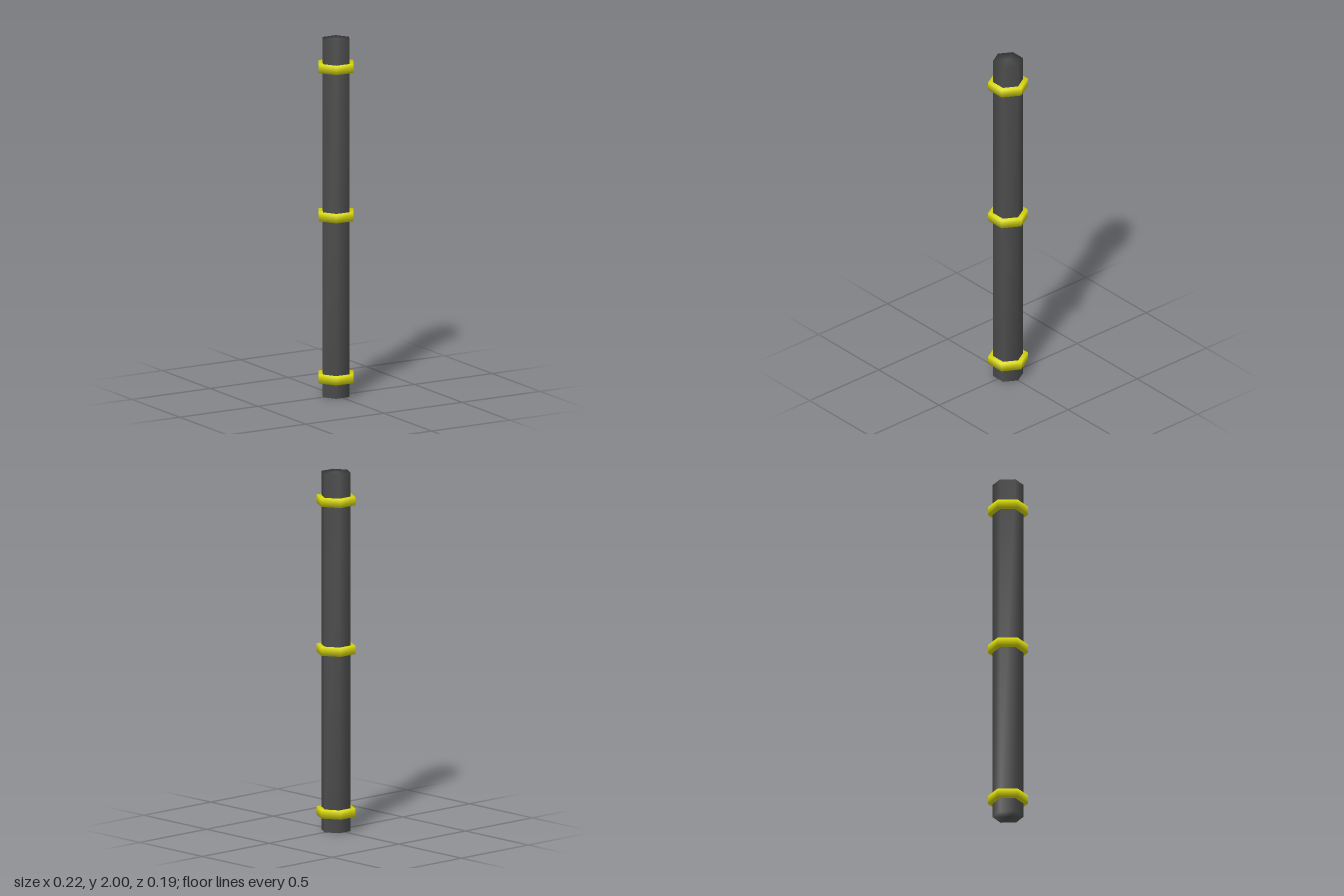
import * as THREE from 'three';
import { mergeVertices } from 'three/addons/utils/BufferGeometryUtils.js';

// Six-sided prism with corners on the x axis and normals blended over all edges
function hexPrism(name, radius, height, y, color) {
  let geometry = new THREE.CylinderGeometry(radius, radius, height, 6, 1, false, Math.PI / 2);
  geometry.deleteAttribute('uv');
  geometry.deleteAttribute('normal');
  geometry = mergeVertices(geometry, 1e-4);
  geometry.computeVertexNormals();
  const mesh = new THREE.Mesh(geometry, new THREE.MeshStandardMaterial({ color }));
  mesh.name = name;
  mesh.position.y = y;
  return mesh;
}

export function createModel() {
  const group = new THREE.Group();
  group.name = 'bandedStaff';

  // Dark shaft
  group.add(hexPrism('shaft', 0.084, 2, 1, 0x4c4c4c));

  // Yellow bands near the bottom, middle and top
  const bands = [['lowerBand', 0.104], ['middleBand', 1.013], ['upperBand', 1.844]];
  for (const [name, y] of bands) group.add(hexPrism(name, 0.11, 0.047, y, 0xd8d80c));

  return group;
}
